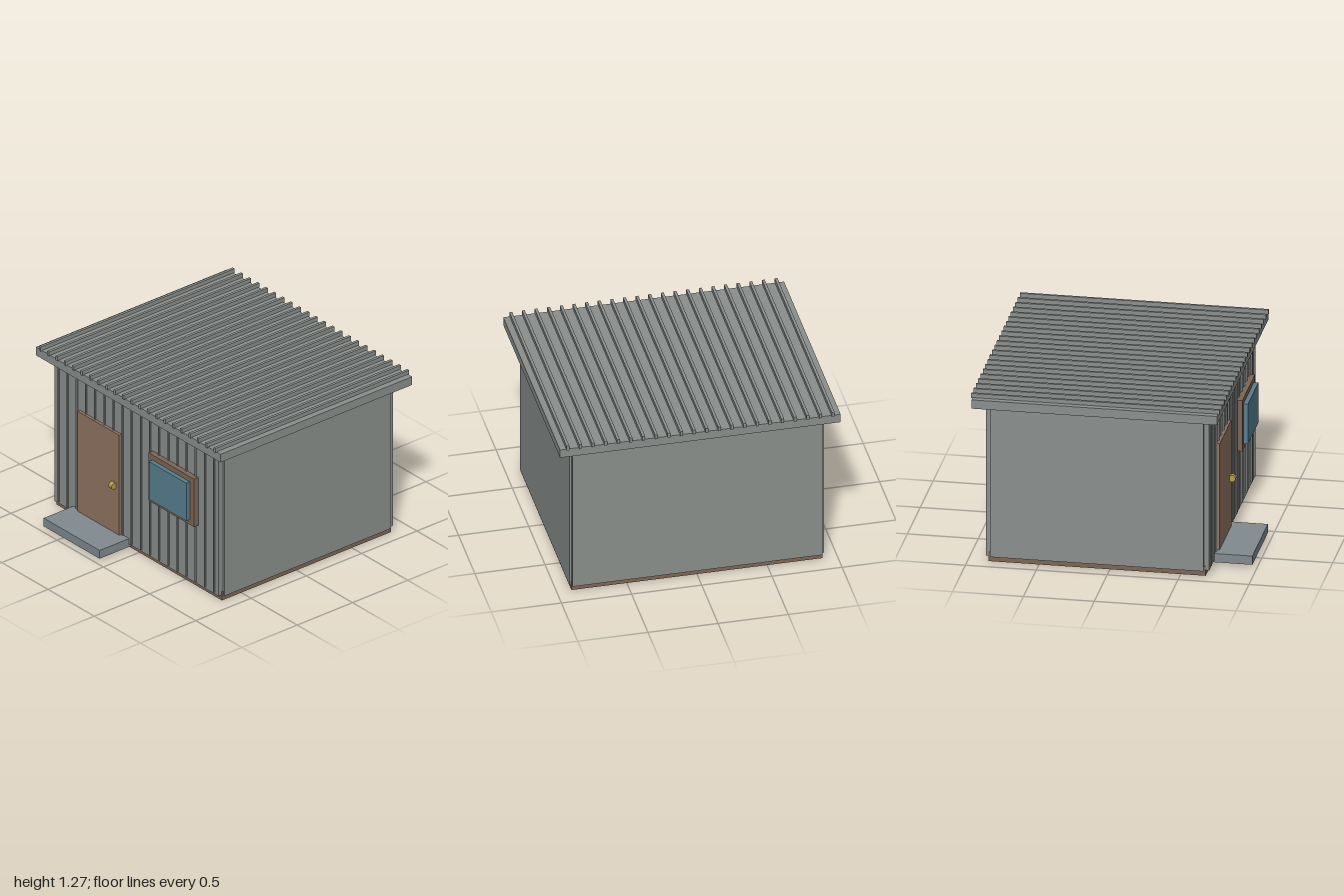
import * as THREE from 'three';

const mat = (color) => new THREE.MeshStandardMaterial({ color });

export function createModel() {
  const model = new THREE.Group();
  const metal = mat(0x8a8f8c);
  const timber = mat(0x7d6653);
  const doorWood = mat(0x8f7361);
  const concrete = mat(0x808a90);
  const glass = mat(0x567f90);
  const brass = mat(0xb59f45);

  // Box given by its extents along each axis
  const box = (name, material, [x0, x1], [y0, y1], [z0, z1], parent = model) => {
    const mesh = new THREE.Mesh(new THREE.BoxGeometry(x1 - x0, y1 - y0, z1 - z0), material);
    mesh.name = name;
    mesh.position.set((x0 + x1) / 2, (y0 + y1) / 2, (z0 + z1) / 2);
    parent.add(mesh);
    return mesh;
  };
  const group = (name) => {
    const g = new THREE.Group();
    g.name = name;
    model.add(g);
    return g;
  };

  // Floor and hollow shell of walls
  box('floor', timber, [-0.895, 0.895], [0, 0.07], [-0.855, 0.675]);
  box('frontWall', metal, [-0.89, 0.89], [0.04, 1.175], [0.66, 0.7]);
  box('backWall', metal, [-0.89, 0.89], [0.04, 1.14], [-0.875, -0.84]);
  box('leftWall', metal, [0.87, 0.907], [0.036, 1.16], [-0.842, 0.662]);
  box('rightWall', metal, [-0.907, -0.87], [0.036, 1.16], [-0.842, 0.662]);
  box('topBeam', timber, [-0.87, 0.87], [1.13, 1.172], [0.59, 0.64]);

  // Upright ribs on the front wall
  const wallRibs = group('wallRibs');
  for (let i = 0; i < 18; i++) {
    const x = -0.839 + i * 0.099;
    box('wallRib', metal, [x - 0.006, x + 0.006], [0.055, 1.174], [0.69, 0.709], wallRibs);
  }

  // Flat roof with raised ribs running front to back
  box('roof', metal, [-1, 1], [1.175, 1.24], [-0.957, 0.775]);
  const roofRibs = group('roofRibs');
  for (let i = 0; i < 22; i++) {
    const x = -0.945 + i * 0.09;
    box('roofRib', metal, [x - 0.01, x + 0.01], [1.235, 1.27], [-0.967, 0.785], roofRibs);
  }

  // Door, knob and doorstep
  box('door', doorWood, [-0.61, -0.16], [0.055, 0.878], [0.69, 0.723]);
  const knob = new THREE.Mesh(new THREE.CylinderGeometry(0.025, 0.025, 0.035, 16), brass);
  knob.name = 'doorKnob';
  knob.rotation.z = Math.PI / 2;
  knob.position.set(-0.21, 0.466, 0.74);
  model.add(knob);
  box('doorstep', concrete, [-0.685, -0.08], [0.02, 0.085], [0.68, 0.967]);

  // Window
  box('windowFrame', timber, [0.178, 0.67], [0.51, 0.89], [0.69, 0.74]);
  box('windowPane', glass, [0.22, 0.625], [0.55, 0.85], [0.72, 0.772]);

  return model;
}
